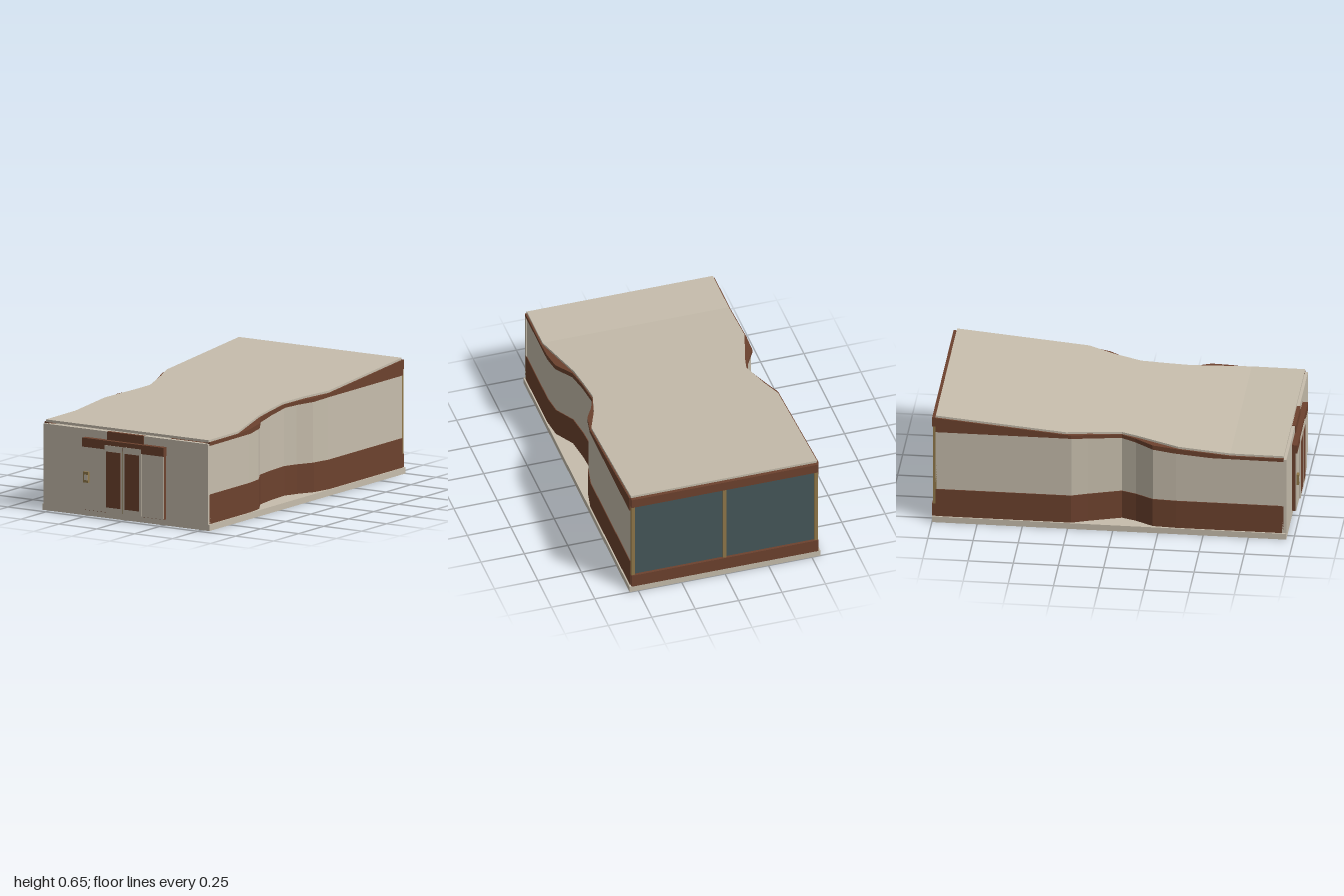
import * as THREE from 'three';

const mat = (name, color) => {
  const m = new THREE.MeshStandardMaterial({ color });
  m.name = name;
  return m;
};

// Piecewise linear lookup in [z, value] pairs, z running front to back
function sample(points, z) {
  if (z >= points[0][0]) return points[0][1];
  for (let i = 1; i < points.length; i++) {
    const [za, a] = points[i - 1], [zb, b] = points[i];
    if (z >= zb) return a + (b - a) * (za - z) / (za - zb);
  }
  return points[points.length - 1][1];
}

// Solid made from rectangular sections [z, xMin, xMax, yMin, yMax], front to back
function loft(sections) {
  const pos = [];
  const quad = (a, b, c, d) => pos.push(...a, ...b, ...c, ...a, ...c, ...d);
  const rings = sections.map(([z, x0, x1, y0, y1]) =>
    [[x0, y0, z], [x1, y0, z], [x1, y1, z], [x0, y1, z]]);
  quad(...rings[0]);
  quad(...[...rings[rings.length - 1]].reverse());
  for (let i = 0; i < rings.length - 1; i++) {
    const f = rings[i], b = rings[i + 1];
    for (let k = 0; k < 4; k++) {
      const n = (k + 1) % 4;
      quad(f[k], b[k], b[n], f[n]);
    }
  }
  const g = new THREE.BufferGeometry();
  g.setAttribute('position', new THREE.Float32BufferAttribute(pos, 3));
  g.computeVertexNormals();
  return g;
}

export function createModel() {
  const root = new THREE.Group();
  root.name = 'pavilion';
  const beige = mat('beige plaster', 0xc6bdac);
  const brown = mat('brown cladding', 0x6d422e);
  const glass = mat('dark teal glass', 0x465759);
  const tan = mat('tan metal', 0x917849);

  const add = (name, geometry, material) => {
    const m = new THREE.Mesh(geometry, material);
    m.name = name;
    root.add(m);
    return m;
  };
  // Box given by its limits
  const box = (name, material, x0, x1, y0, y1, z0, z1) => {
    const m = add(name, new THREE.BoxGeometry(x1 - x0, y1 - y0, z1 - z0), material);
    m.position.set((x0 + x1) / 2, (y0 + y1) / 2, (z0 + z1) / 2);
  };

  // Half-widths of walls and roof on each pinched side
  const sides = [
    { name: 'left', s: 1,
      wall: [[0.945, 0.538], [0.54, 0.538], [0.43, 0.525], [0.32, 0.46], [0.19, 0.443], [0.04, 0.435],
        [-0.04, 0.465], [-0.13, 0.515], [-0.25, 0.538], [-0.98, 0.538]],
      roof: [[0.945, 0.536], [0.65, 0.536], [0.32, 0.458], [0.19, 0.445], [0.05, 0.435],
        [-0.1, 0.475], [-0.25, 0.536], [-0.98, 0.536]] },
    { name: 'right', s: -1,
      wall: [[0.945, 0.538], [0.35, 0.538], [0.22, 0.53], [0.12, 0.475], [0.04, 0.447],
        [-0.14, 0.505], [-0.23, 0.538], [-0.98, 0.538]],
      roof: [[0.945, 0.536], [0.36, 0.536], [0.12, 0.465], [0.04, 0.447],
        [-0.14, 0.495], [-0.26, 0.536], [-0.98, 0.536]] },
  ];
  const roofTop = [[0.945, 0.505], [0.65, 0.506], [-0.98, 0.65]];
  const fasciaBottom = [[0.945, 0.474], [0.54, 0.476], [0.32, 0.495], [0.03, 0.528], [-0.25, 0.552], [-0.98, 0.552]];
  const zs = [...new Set([...sides.flatMap(o => [...o.wall, ...o.roof]), ...roofTop, ...fasciaBottom]
    .map(p => p[0]))].sort((a, b) => b - a);

  box('basePlinth', beige, -0.55, 0.55, 0, 0.035, -1, 0.96);

  // Sloping roof slab
  add('roof', loft(zs.map(z => {
    const y = sample(roofTop, z);
    return [z, -sample(sides[1].roof, z), sample(sides[0].roof, z), y - 0.014, y];
  })), beige);

  // Curving side walls: lower cladding, plaster and tapering fascia
  for (const { name, s, wall, roof } of sides) {
    const strip = (label, material, bulge, bottom, top, inner) => {
      add(name + label, loft(zs.map(z => {
        const outer = s * (sample(wall, z) + bulge), inside = s * inner(z);
        return [z, Math.min(outer, inside), Math.max(outer, inside), bottom(z), top(z)];
      })), material);
    };
    const back = z => sample(wall, z) - 0.02;
    strip('LowerCladding', brown, 0.004, () => 0.035, () => 0.2, back);
    strip('Wall', beige, 0, () => 0.2, z => sample(fasciaBottom, z), back);
    strip('Fascia', brown, 0.007, z => sample(fasciaBottom, z), z => sample(roofTop, z) - 0.012,
      z => Math.min(sample(wall, z), sample(roof, z)) - 0.02);
  }

  // Glazed back
  box('backGlass', glass, -0.535, 0.535, 0.11, 0.59, -0.984, -0.974);
  box('backSill', brown, -0.538, 0.538, 0.035, 0.11, -1, -0.975);
  box('backBeam', brown, -0.538, 0.538, 0.583, 0.637, -1, -0.975);
  for (const x of [-0.528, 0, 0.528]) box('backMullion', tan, x - 0.01, x + 0.01, 0.11, 0.583, -0.994, -0.975);

  // Front wall and entrance
  box('frontWall', beige, -0.542, 0.542, 0.035, 0.485, 0.935, 0.96);
  box('entranceHeader', brown, -0.12, 0.12, 0.44, 0.486, 0.945, 0.966);
  box('entranceCanopy', brown, -0.267, 0.267, 0.39, 0.44, 0.955, 0.99);
  for (const s of [-1, 1]) {
    const span = (name, m, a, b, ...rest) => box(name, m, Math.min(s * a, s * b), Math.max(s * a, s * b), ...rest);
    span('entranceSideCore', brown, 0.12, 0.264, 0.035, 0.39, 0.955, 0.979);
    span('entranceSidePanel', beige, 0.12, 0.264, 0.037, 0.39, 0.979, 0.984);
    span('door', beige, 0.002, 0.12, 0.04, 0.415, 0.96, 0.992);
    span('doorPanel', brown, 0.014, 0.109, 0.067, 0.38, 0.99, 0.994);
  }
  box('doorSeam', tan, -0.002, 0.002, 0.04, 0.415, 0.96, 0.99);

  // Entry call box
  box('callBox', tan, -0.256, -0.224, 0.192, 0.252, 0.982, 0.998);
  box('callBoxScreen', beige, -0.25, -0.228, 0.206, 0.236, 0.996, 1);

  return root;
}
